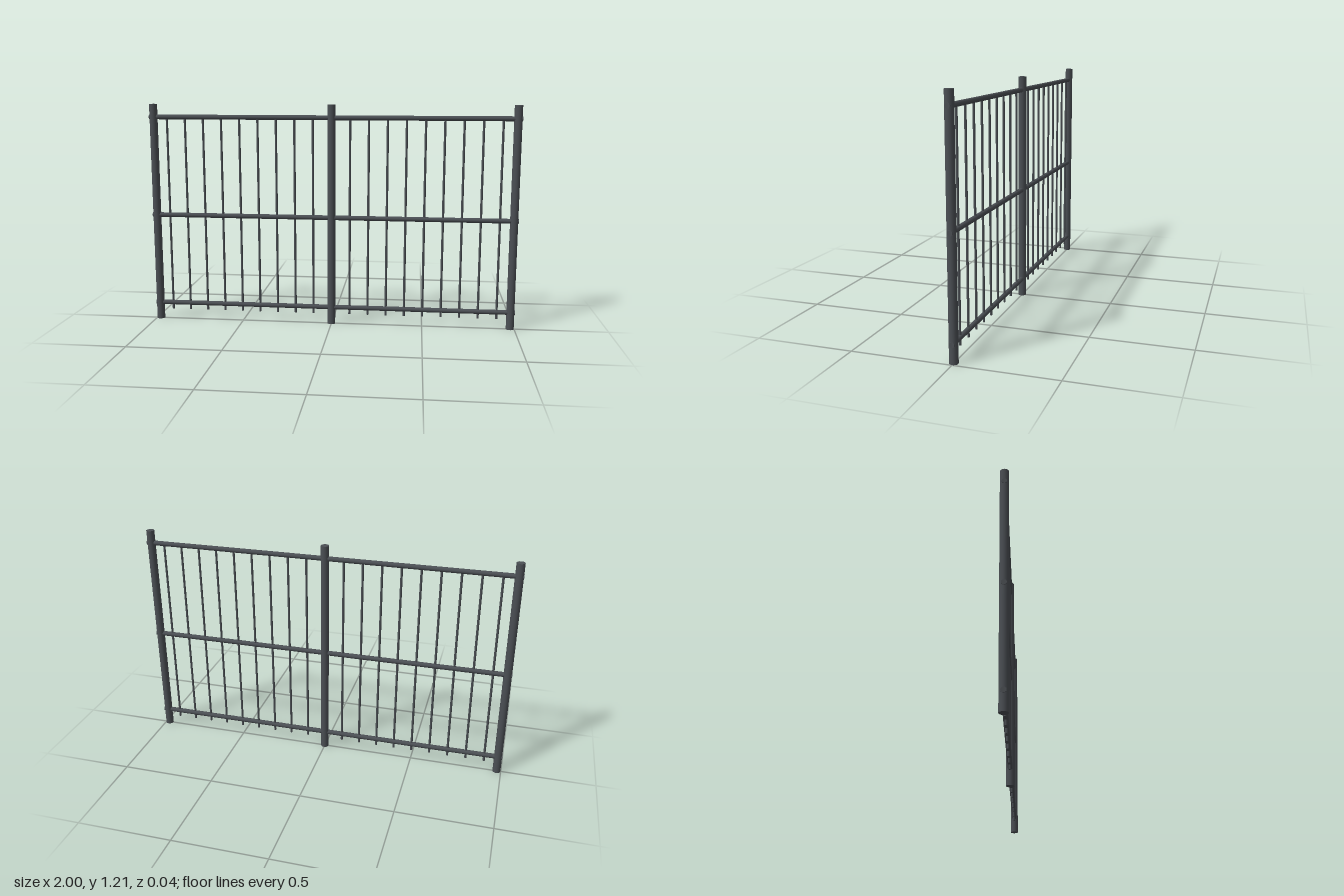
import * as THREE from 'three';

export function createModel() {
  const fence = new THREE.Group();
  fence.name = 'railingFence';
  const metal = new THREE.MeshStandardMaterial({ color: 0x4b4f54 });
  metal.name = 'darkGreyMetal';

  function bar(name, radius, length, sides, x, y) {
    const mesh = new THREE.Mesh(new THREE.CylinderGeometry(radius, radius, length, sides), metal);
    mesh.name = name;
    mesh.position.set(x, y, 0);
    fence.add(mesh);
    return mesh;
  }

  // Round posts at both ends and in the middle
  const postHeight = 1.208;
  for (const x of [-0.977, 0, 0.977]) bar('post', 0.0215, postHeight, 16, x, postHeight / 2);

  // Horizontal rails, passing through the posts and just past the end ones
  for (const y of [0.093, 0.597, 1.138]) bar('rail', 0.013, 2, 12, 0, y).rotation.z = Math.PI / 2;

  // Thin balusters, from the top rail to just below the bottom rail
  const bottom = 0.056, top = 1.138;
  for (const side of [-1, 1]) {
    for (let i = 1; i <= 9; i++) {
      bar('baluster', 0.0062, top - bottom, 8, side * i * 0.1003, (top + bottom) / 2);
    }
  }
  return fence;
}
